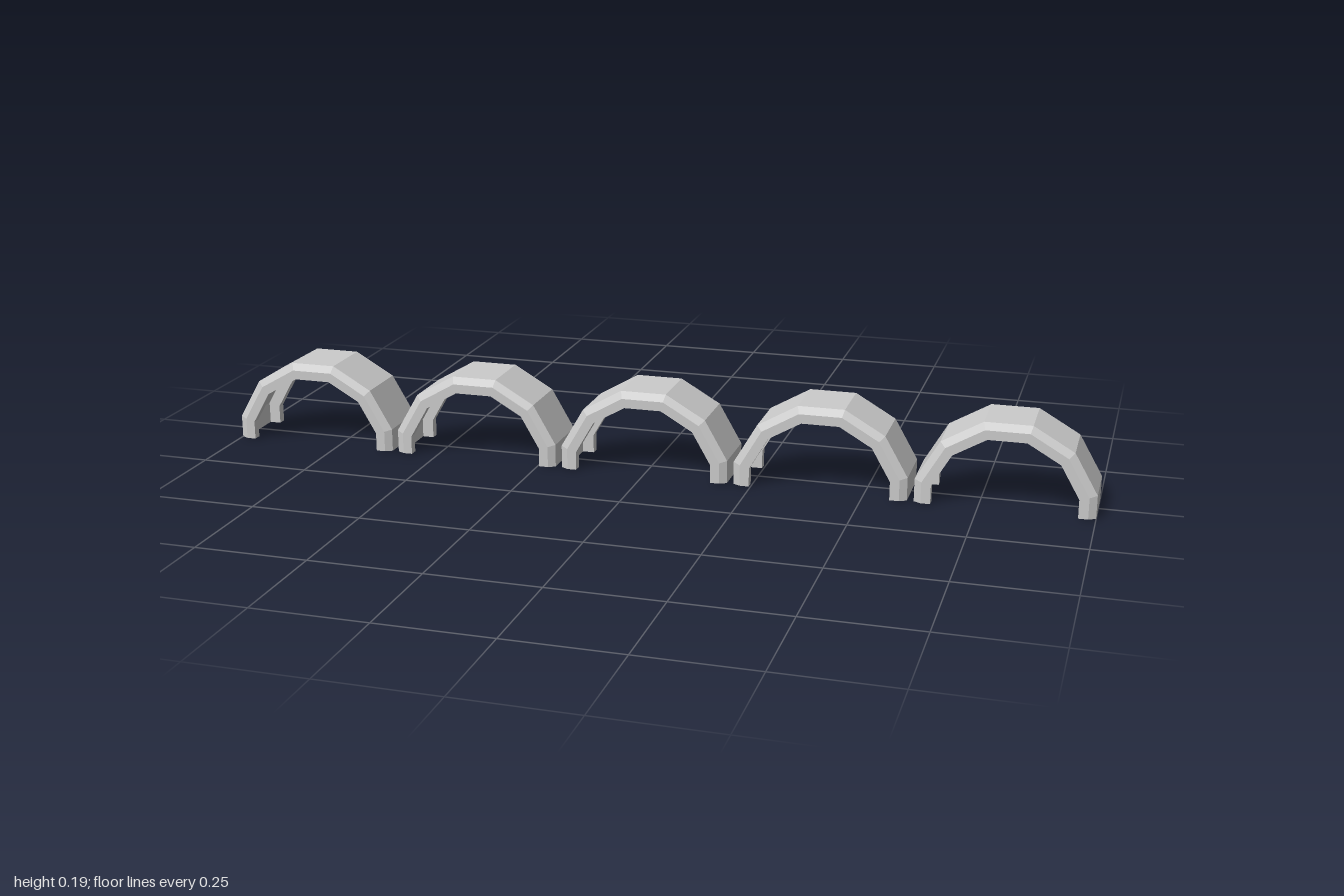
import * as THREE from 'three';

// C-shaped cross-section: [distance from arch axis, z], chamfered outside, open inside
const SECTION = [
  [0.178, 0.075], [0.194, 0.066], [0.194, -0.066], [0.178, -0.075], [0.157, -0.075],
  [0.157, -0.055], [0.183, -0.055], [0.183, 0.055], [0.157, 0.055], [0.157, 0.075],
];
const ARCH_COUNT = 5;
const HALF_WIDTH = 0.194;

// Mitred stations of a half twelve-sided arch, with straight feet down to y = 0
function stations() {
  const list = [[1, 0]];
  for (let a = 15; a <= 165; a += 30) {
    const t = THREE.MathUtils.degToRad(a);
    const k = 1 / Math.cos(Math.PI / 12);
    list.push([k * Math.cos(t), k * Math.sin(t)]);
  }
  list.push([-1, 0]);
  return list;
}

function archGeometry() {
  const path = stations();
  const positions = [];
  const point = (s, i) => [SECTION[i][0] * path[s][0], SECTION[i][0] * path[s][1], SECTION[i][1]];
  const tri = (a, b, c) => positions.push(...a, ...b, ...c);

  // Swept walls
  for (let s = 0; s < path.length - 1; s++) {
    for (let i = 0; i < SECTION.length; i++) {
      const n = (i + 1) % SECTION.length;
      const a = point(s, i), b = point(s, n), c = point(s + 1, n), d = point(s + 1, i);
      tri(a, b, c);
      tri(a, c, d);
    }
  }

  // Flat undersides of both feet
  const outline = SECTION.map(([r, z]) => new THREE.Vector2(r, z));
  for (const [a, b, c] of THREE.ShapeUtils.triangulateShape(outline, [])) {
    const area = THREE.ShapeUtils.area([outline[a], outline[b], outline[c]]);
    const [p, q] = area > 0 ? [b, c] : [c, b];
    const last = path.length - 1;
    tri(point(0, a), point(0, p), point(0, q));
    tri(point(last, a), point(last, q), point(last, p));
  }

  const geometry = new THREE.BufferGeometry();
  geometry.setAttribute('position', new THREE.Float32BufferAttribute(positions, 3));
  geometry.computeVertexNormals();
  return geometry;
}

export function createModel() {
  const group = new THREE.Group();
  group.name = 'archRow';
  const grey = new THREE.MeshStandardMaterial({ color: 0xcccccc });
  grey.name = 'lightGrey';

  // Evenly spaced row of identical arches
  const geometry = archGeometry();
  const spacing = (2 - 2 * HALF_WIDTH) / (ARCH_COUNT - 1);
  for (let i = 0; i < ARCH_COUNT; i++) {
    const arch = new THREE.Mesh(geometry, grey);
    arch.name = `arch${i + 1}`;
    arch.position.x = (i - (ARCH_COUNT - 1) / 2) * spacing;
    group.add(arch);
  }
  return group;
}
